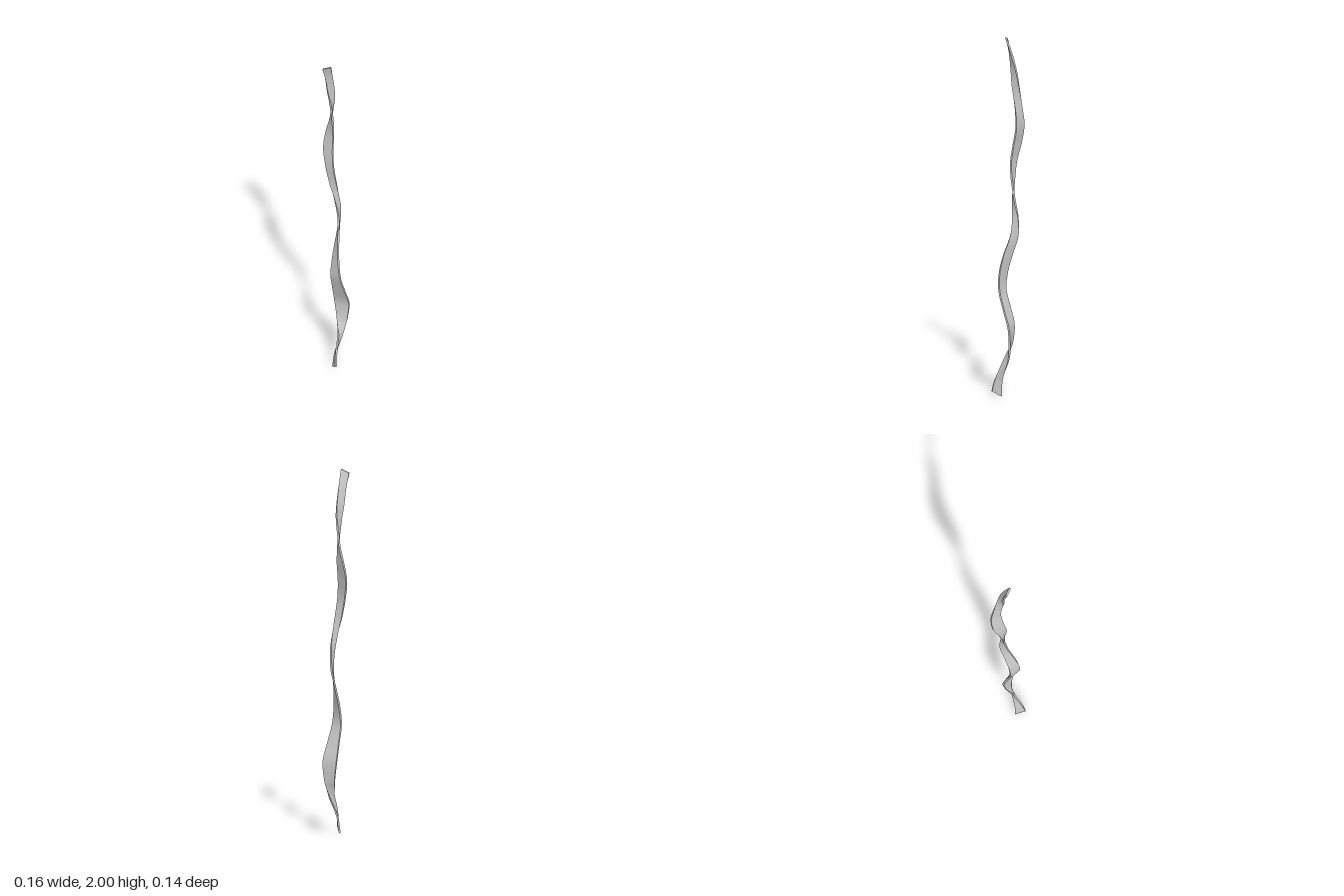
import * as THREE from 'three';
import { toCreasedNormals } from 'three/addons/utils/BufferGeometryUtils.js';

const THICKNESS = 0.01;
const STEPS = 160;

// Stations up the ribbon: height, centre x, centre z, twist in degrees, width, end slant
const STATIONS = [
  [0.017, 0.044, 0.050, 40, 0.056, 0.034],
  [0.1, 0.045, 0.036, 55, 0.043, 0],
  [0.2, 0.047, -0.005, 102, 0.035, 0],
  [0.25, 0.043, -0.022, 140, 0.045, 0],
  [0.3, 0.040, -0.034, 165, 0.062, 0],
  [0.4, 0.037, -0.035, 173, 0.087, 0],
  [0.5, 0.035, -0.007, 180, 0.078, 0],
  [0.6, 0.033, 0.020, 186, 0.065, 0],
  [0.7, 0.029, 0.015, 203, 0.058, 0],
  [0.8, 0.022, -0.010, 222, 0.052, 0],
  [0.9, 0.014, -0.042, 240, 0.045, 0],
  [1.0, 0.010, -0.047, 265, 0.034, 0],
  [1.1, 0.002, -0.034, 313, 0.030, 0],
  [1.2, -0.013, -0.021, 350, 0.042, 0],
  [1.3, -0.029, -0.016, 366, 0.055, 0],
  [1.4, -0.046, -0.029, 371, 0.068, 0],
  [1.5, -0.046, -0.046, 378, 0.060, 0],
  [1.6, -0.034, -0.045, 402, 0.042, 0],
  [1.73, -0.023, -0.031, 448, 0.042, 0],
  [1.8, -0.024, -0.022, 470, 0.044, 0],
  [1.9, -0.024, -0.003, 495, 0.042, 0],
  [1.99, -0.022, 0.024, 523, 0.046, -0.02],
];

const smooth = (pick) =>
  new THREE.CatmullRomCurve3(STATIONS.map((s) => new THREE.Vector3(...pick(s))), false, 'catmullrom');

function ribbonGeometry() {
  const path = smooth(([y, x, z]) => [x, y, z]);
  const section = smooth(([, , , twist, width, slant]) => [THREE.MathUtils.degToRad(twist), width, slant]);
  const corners = [[1, 1], [-1, 1], [-1, -1], [1, -1]];
  const positions = [];
  const index = [];

  for (let i = 0; i <= STEPS; i++) {
    const p = path.getPoint(i / STEPS);
    const { x: angle, y: width, z: slant } = section.getPoint(i / STEPS);
    const c = Math.cos(angle), s = Math.sin(angle);
    for (const [u, n] of corners) {
      const a = (u * width) / 2, b = (n * THICKNESS) / 2;
      positions.push(p.x + a * c - b * s, p.y + (u * slant) / 2, p.z + a * s + b * c);
    }
    if (i === STEPS) break;
    for (let j = 0; j < 4; j++) {
      const a = i * 4 + j, b = i * 4 + ((j + 1) % 4);
      index.push(a, a + 4, b, b, a + 4, b + 4);
    }
  }
  // End caps
  const t = STEPS * 4;
  index.push(0, 1, 2, 0, 2, 3, t, t + 2, t + 1, t, t + 3, t + 2);

  const geometry = new THREE.BufferGeometry();
  geometry.setAttribute('position', new THREE.Float32BufferAttribute(positions, 3));
  geometry.setIndex(index);
  return toCreasedNormals(geometry, 0.8);
}

export function createModel() {
  const group = new THREE.Group();
  group.name = 'twistedRibbon';
  const ribbon = new THREE.Mesh(
    ribbonGeometry(),
    new THREE.MeshStandardMaterial({ color: 0xcccccc }),
  );
  ribbon.name = 'ribbon';
  group.add(ribbon);
  return group;
}
